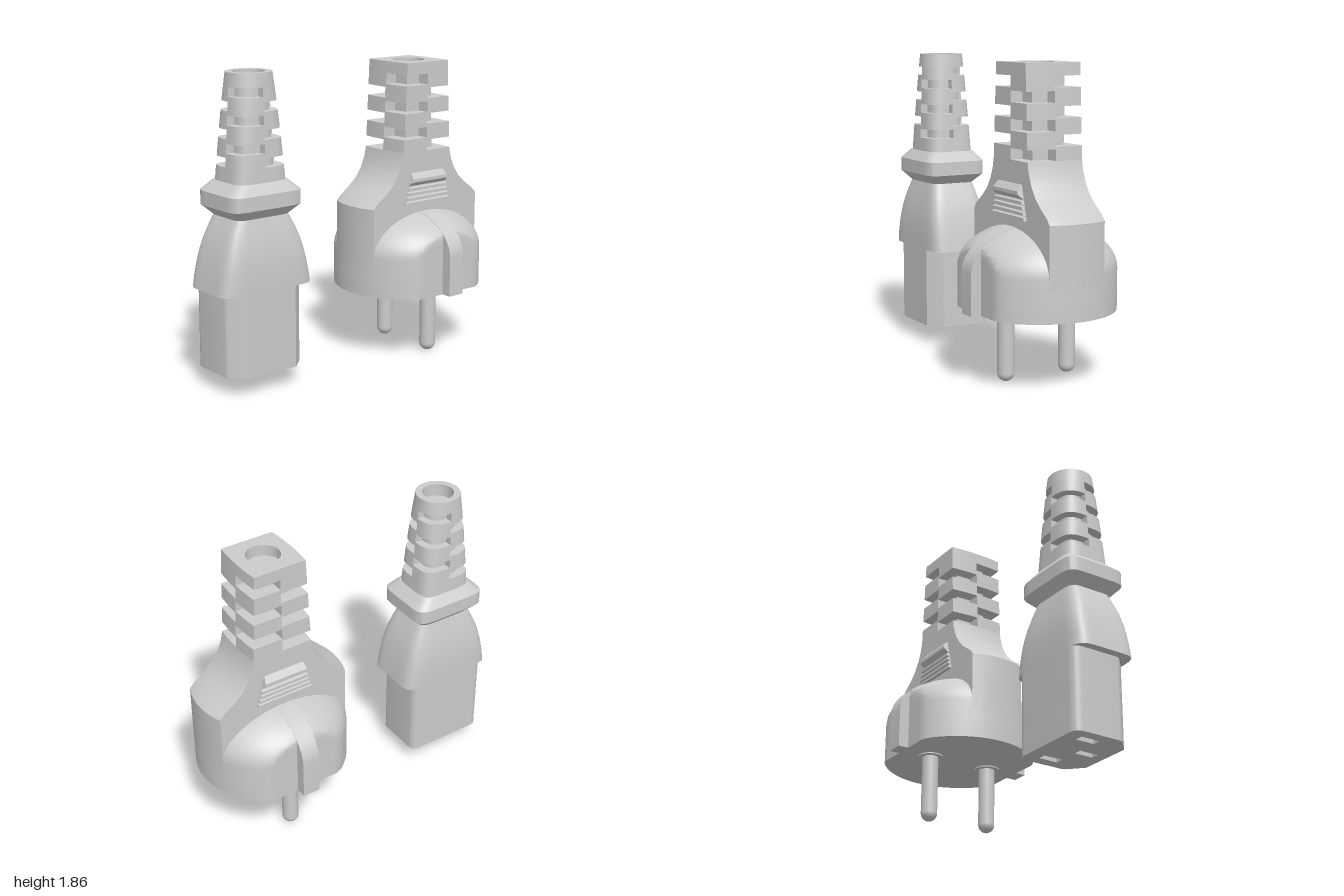
import * as THREE from 'three';
import { toCreasedNormals } from 'three/addons/utils/BufferGeometryUtils.js';

const grey = new THREE.MeshStandardMaterial({ color: 0xcccccc });
const lerp = THREE.MathUtils.lerp;

function add(parent, name, geometry, x = 0, y = 0, z = 0) {
  const m = new THREE.Mesh(geometry, grey);
  m.name = name;
  m.position.set(x, y, z);
  parent.add(m);
  return m;
}

// Skin a stack of equal-length rings (arrays of [x, y, z]) and cap both ends with fans.
function loft(rings, crease = 0.6) {
  const pos = [];
  const tri = (...pts) => pts.forEach(p => pos.push(...p));
  const n = rings[0].length;
  const centre = r => [0, 1, 2].map(k => r.reduce((s, p) => s + p[k], 0) / n);
  const last = rings[rings.length - 1];
  const c0 = centre(rings[0]), c1 = centre(last);
  for (let j = 0; j < n; j++) {
    const k = (j + 1) % n;
    for (let i = 0; i + 1 < rings.length; i++) {
      const a = rings[i], b = rings[i + 1];
      tri(a[j], b[j], a[k]);
      tri(a[k], b[j], b[k]);
    }
    tri(c0, rings[0][j], rings[0][k]);
    tri(c1, last[k], last[j]);
  }
  const g = new THREE.BufferGeometry();
  g.setAttribute('position', new THREE.Float32BufferAttribute(pos, 3));
  return toCreasedNormals(g, crease);
}

// Superellipse ring (p = Infinity gives a box with bowed sides);
// cut = 0 or 1 shrinks two opposite quadrants to the core.
function ring(y, wx, wz, p = 2, cut = -1, core = 1) {
  const pts = [];
  for (let q = 0; q < 4; q++) for (let i = 0; i <= 16; i++) {
    const t = (q + i / 16) * Math.PI / 2, c = Math.cos(t), s = Math.sin(t);
    const ac = Math.abs(c), as = Math.abs(s);
    let r = p === Infinity ? 1 / Math.max(ac, as) : (ac ** p + as ** p) ** (-1 / p);
    if (q % 2 === cut) r *= core;
    const bow = p === Infinity ? 1 - 0.06 * (r * s) ** 2 : 1;
    pts.push([wx * r * c * bow, y, wz * r * s]);
  }
  return pts;
}

// Flexible strain relief: solid slices alternating with slotted ones, open bore on top.
function strainRelief(parent, y0, y1, slots, slotH, core, bore, section) {
  const g = new THREE.Group();
  g.name = 'strainRelief';
  parent.add(g);
  let y = y0;
  slots.forEach((s, i) => {
    if (s > y) add(g, 'solidSlice', loft([section(y), section(s)]));
    add(g, 'slottedSlice', loft([section(s, i % 2, core), section(s + slotH, i % 2, core)]));
    y = s + slotH;
  });
  add(g, 'boredEnd', loft([section(y), section(y1), ring(y1, bore, bore), ring(y + 0.005, bore, bore)]));
}

// Extrude a plan shape (x, z) upwards from y0 to y1.
function extrudeUp(shape, y0, y1) {
  const g = new THREE.ExtrudeGeometry(shape, { depth: y1 - y0, bevelEnabled: false });
  g.rotateX(-Math.PI / 2).translate(0, y0, 0);
  return toCreasedNormals(g, 0.6);
}

function makeSocketConnector() {
  const g = new THREE.Group();
  g.name = 'socketConnector';

  // Lower body: bevelled front corners, rounded back corners (shape y is -z)
  const plan = () => {
    const s = new THREE.Shape();
    s.moveTo(-0.17, -0.2).lineTo(0.17, -0.2).lineTo(0.25, -0.125);
    s.quadraticCurveTo(0.265, -0.11, 0.265, -0.09).lineTo(0.265, 0.14);
    s.quadraticCurveTo(0.265, 0.2, 0.205, 0.2).lineTo(-0.205, 0.2);
    s.quadraticCurveTo(-0.265, 0.2, -0.265, 0.14).lineTo(-0.265, -0.09);
    s.quadraticCurveTo(-0.265, -0.11, -0.25, -0.125).closePath();
    return s;
  };
  const face = plan();
  for (const [x, y] of [[-0.17, 0.05], [0.17, 0.05], [0, -0.07]]) {
    const h = new THREE.Path();
    h.moveTo(x - 0.025, y - 0.06).lineTo(x - 0.025, y + 0.06);
    h.lineTo(x + 0.025, y + 0.06).lineTo(x + 0.025, y - 0.06).closePath();
    face.holes.push(h);
  }
  add(g, 'contactFace', extrudeUp(face, 0.11, 0.3));
  add(g, 'lowerBody', extrudeUp(plan(), 0.3, 0.62));

  // Hood swelling down to the shoulders
  const hood = [[0.607, 0.317, 0.2], [0.68, 0.305, 0.2], [0.76, 0.288, 0.197], [0.83, 0.27, 0.19],
    [0.9, 0.248, 0.178], [0.97, 0.217, 0.162], [1.035, 0.185, 0.145]];
  add(g, 'hood', loft(hood.map(([y, x, z]) => ring(y, x, z, 7))));

  // Bevelled collar
  const collar = [[1.03, 0.185, 0.145], [1.09, 0.247, 0.203], [1.175, 0.247, 0.203], [1.235, 0.178, 0.155]];
  add(g, 'collar', loft(collar.map(([y, x, z]) => ring(y, x, z, 7)), 0.4));

  strainRelief(g, 1.23, 1.857, [1.32, 1.4, 1.48, 1.56, 1.638, 1.72], 0.055, 0.68, 0.095, (y, cut, core) => {
    const t = (y - 1.23) / 0.627;
    return ring(y, lerp(0.178, 0.135, t), lerp(0.155, 0.135, t), lerp(4.5, 2, t), cut, core);
  });
  return g;
}

function makeWallPlug() {
  const g = new THREE.Group();
  g.name = 'wallPlug';
  const R = 0.465, FLAT = 0.4, T = 0.18;

  // Round base with a domed top, flattened at front and back
  const dome = [[0.417, R], [0.66, R]];
  for (let i = 1; i <= 14; i++) {
    const a = i / 14 * 1.5;
    dome.push([0.66 + 0.27 * Math.sin(a), R * Math.cos(a)]);
  }
  add(g, 'domedBase', loft(dome.map(([y, r]) => ring(y, r, r)
    .map(([x, h, z]) => [x, h, Math.max(-FLAT, Math.min(FLAT, z))]))));

  // Guide rib following the full dome outline
  const rib = new THREE.Shape();
  rib.moveTo(-R, 0.417).lineTo(R, 0.417).lineTo(R, 0.66);
  for (let i = 1; i <= 24; i++) {
    const a = i / 24 * Math.PI;
    rib.lineTo(R * Math.cos(a), 0.66 + 0.27 * Math.sin(a));
  }
  const ribGeo = new THREE.ExtrudeGeometry(rib, { depth: 0.11, bevelEnabled: false });
  ribGeo.translate(0, 0, -0.055).rotateY(Math.PI / 2);
  add(g, 'guideRib', toCreasedNormals(ribGeo, 0.5));

  // Flat shoulder slab narrowing to the neck, trimmed to the base radius
  const profile = [[0.6, 0.52], [0.967, 0.468], [1.0, 0.425], [1.05, 0.35], [1.1, 0.292],
    [1.16, 0.248], [1.23, 0.217], [1.29, 0.204]];
  add(g, 'shoulders', loft(profile.map(([y, w]) => {
    const pts = [];
    for (const side of [1, -1]) for (let i = 0; i <= 12; i++) {
      const z = side * lerp(-T, T, i / 12);
      const x = Math.min(w * (1 - 0.06 * (z / T) ** 2), Math.sqrt(R * R - z * z));
      pts.push([side * x, y, z]);
    }
    return pts;
  })));

  strainRelief(g, 1.29, 1.84, [1.29, 1.37, 1.455, 1.53, 1.615, 1.7], 0.066, 0.56, 0.1,
    (y, cut, core) => ring(y, lerp(0.204, 0.176, (y - 1.29) / 0.55), T, Infinity, cut, core));

  // Finger grips: serrated ribs below a larger lip, tapering upwards
  const grip = new THREE.Shape();
  grip.moveTo(0.16, 0.96);
  for (let i = 0; i < 4; i++) {
    const y = 0.96 + i * 0.03;
    grip.lineTo(0.2, y).lineTo(0.2, y + 0.018).lineTo(0.184, y + 0.024).lineTo(0.184, y + 0.03);
  }
  grip.lineTo(0.215, 1.105).lineTo(0.215, 1.125).lineTo(0.185, 1.16).lineTo(0.16, 1.16).closePath();
  const gripGeo = new THREE.ExtrudeGeometry(grip, { depth: 2, bevelEnabled: false });
  gripGeo.translate(0, 0, -1).rotateY(-Math.PI / 2);
  const p = gripGeo.attributes.position;
  for (let i = 0; i < p.count; i++) {
    p.setX(i, p.getX(i) * lerp(0.185, 0.13, (p.getY(i) - 0.96) / 0.2));
  }
  const gripFlat = toCreasedNormals(gripGeo, 0.3);
  for (const turn of [0, Math.PI]) add(g, 'fingerGrip', gripFlat).rotation.y = turn;

  // Round-tipped contact pins with seating rings
  const pin = [new THREE.Vector2(0, 0)];
  for (let i = 1; i <= 8; i++) {
    const a = i / 8 * Math.PI / 2;
    pin.push(new THREE.Vector2(0.05 * Math.sin(a), 0.05 - 0.05 * Math.cos(a)));
  }
  pin.push(new THREE.Vector2(0.05, 0.43));
  for (const z of [-0.208, 0.208]) {
    add(g, 'pin', new THREE.LatheGeometry(pin, 32), 0, 0, z);
    add(g, 'pinSeat', new THREE.CylinderGeometry(0.08, 0.08, 0.02, 32), 0, 0.42, z);
  }
  return g;
}

export function createModel() {
  const model = new THREE.Group();
  model.name = 'powerCordEnds';
  const socket = makeSocketConnector();
  socket.position.x = -0.683;
  const plug = makeWallPlug();
  plug.position.x = 0.53;
  model.add(socket, plug);
  return model;
}
